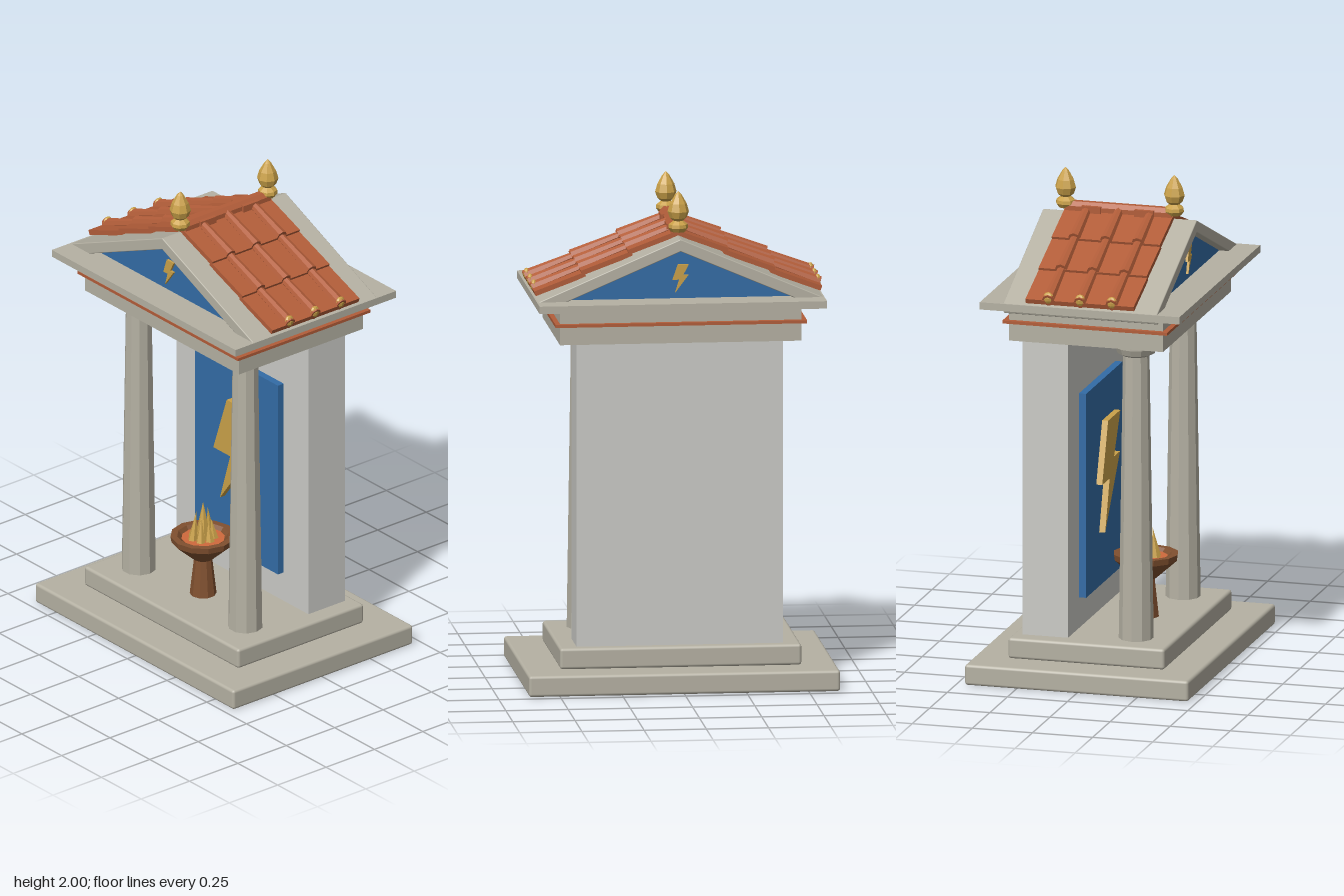
import * as THREE from 'three';
import { RoundedBoxGeometry } from 'three/addons/geometries/RoundedBoxGeometry.js';

const mat = (name, color) => {
  const m = new THREE.MeshStandardMaterial({ color });
  m.name = name;
  return m;
};

export function createModel() {
  const stone = mat('warm stone', 0xb5b1a3);
  const plaster = mat('pale plaster', 0xcbcbc7);
  const blue = mat('blue', 0x336ca6);
  const gold = mat('gold', 0xcaa149);
  const clay = mat('terracotta', 0xb25d39);
  const bronze = mat('bronze', 0x80502f);
  const ember = mat('ember', 0xcf6a3c);

  const root = new THREE.Group();
  root.name = 'shrine';

  const add = (parent, name, geo, material, x = 0, y = 0, z = 0) => {
    const m = new THREE.Mesh(geo, material);
    m.name = name;
    m.position.set(x, y, z);
    parent.add(m);
    return m;
  };
  const box = (w, h, d) => new THREE.BoxGeometry(w, h, d);
  const rounded = (w, h, d, r) => new RoundedBoxGeometry(w, h, d, 2, r);
  // Faceted normals for low-poly turned parts
  const facet = (geo) => {
    const g = geo.toNonIndexed();
    g.computeVertexNormals();
    return g;
  };
  const lathe = (pts, sides) =>
    facet(new THREE.LatheGeometry(pts.map(([r, y]) => new THREE.Vector2(r, y)), sides));

  // Stepped base
  add(root, 'lowerStep', rounded(1.25, 0.085, 0.93, 0.012), stone, 0, 0.0425, 0);
  add(root, 'upperStep', rounded(0.97, 0.085, 0.65, 0.012), stone, 0, 0.1275, 0);

  // Back wall with its panel
  add(root, 'backWall', box(0.83, 1.23, 0.19), plaster, 0, 0.785, -0.19);
  add(root, 'panel', box(0.52, 0.843, 0.03), blue, 0, 0.7185, -0.08);

  // Zigzag bolt relief, centred on its own origin
  const boltShape = new THREE.Shape([
    [-0.032, 0.225], [-0.116, -0.019], [-0.01, -0.019], [-0.074, -0.227],
    [0.138, 0.056], [0.053, 0.056], [0.143, 0.225],
  ].map(([x, y]) => new THREE.Vector2(x, y)));
  const bolt = (depth) => new THREE.ExtrudeGeometry(boltShape, { depth, bevelEnabled: false });
  add(root, 'panelBolt', bolt(0.025), gold, 0, 0.747, -0.065);

  // Front columns
  for (const s of [-1, 1]) {
    const column = new THREE.Group();
    column.name = s > 0 ? 'leftColumn' : 'rightColumn';
    column.position.set(s * 0.335, 0, 0.165);
    root.add(column);
    const shaft = new THREE.CylinderGeometry(0.053, 0.07, 1.18, 10).rotateY(Math.PI / 2);
    add(column, 'shaft', facet(shaft), stone, 0, 0.76, 0);
    add(column, 'capital', lathe([[0.056, 1.34], [0.076, 1.35], [0.086, 1.375],
      [0.086, 1.4], [0, 1.4]], 12), stone);
  }

  // Entablature
  add(root, 'architrave', box(0.97, 0.145, 0.64), stone, 0, 1.4725, 0);
  add(root, 'band', box(1.01, 0.012, 0.685), clay, 0, 1.48, 0);
  add(root, 'cornice', box(1.155, 0.03, 0.83), stone, 0, 1.56, 0);

  // Gable infill, front and back
  const gable = new THREE.Shape([[-0.465, 1.572], [0.465, 1.572], [0, 1.775]]
    .map(([x, y]) => new THREE.Vector2(x, y)));
  const gableGeo = new THREE.ExtrudeGeometry(gable, { depth: 0.56, bevelEnabled: false });
  add(root, 'gableInfill', gableGeo, blue, 0, 0, -0.28);
  for (const s of [-1, 1]) {
    const relief = add(root, 'gableBolt', bolt(0.04), gold, 0, 1.656, s * 0.28);
    relief.scale.set(0.25, 0.25, 0.25);
    if (s < 0) relief.rotation.y = Math.PI;
  }

  // Roof slopes: local x runs down the slope from the ridge
  const pitch = 0.405;
  const row = 0.204;
  for (const s of [-1, 1]) {
    const turn = new THREE.Group();
    turn.name = s > 0 ? 'leftRoof' : 'rightRoof';
    if (s < 0) turn.rotation.y = Math.PI;
    root.add(turn);
    const slope = new THREE.Group();
    slope.name = 'slope';
    slope.position.y = 1.82;
    slope.rotation.z = -pitch;
    turn.add(slope);

    add(slope, 'roofSlab', rounded(0.626, 0.046, 0.64, 0.004), stone, 0.313, -0.023, 0);
    for (let i = 0; i < 3; i++) {
      const u = (i + 0.5) * row;
      // Overlapping pan tiles
      const pan = add(slope, 'panTiles', box(row + 0.012, 0.02, 0.45), clay, u, 0.013, 0);
      pan.rotation.z = 0.05;
      // Tapered cover tiles
      for (const z of [-0.132, 0, 0.132]) {
        const g = new THREE.CylinderGeometry(0.025, 0.018, row + 0.008, 8).rotateZ(-Math.PI / 2);
        const cover = add(slope, 'coverTile', facet(g), clay, u, 0.024, z);
        cover.rotation.z = 0.03;
      }
    }
    // Gilded eave ends
    for (const z of [-0.132, 0, 0.132]) {
      const end = add(turn, 'eaveOrnament', facet(new THREE.SphereGeometry(0.023, 8, 6)),
        gold, 0.57, 1.612, z);
      end.scale.set(0.6, 1.05, 0.95);
    }
  }

  // Ridge tiles
  const ridgeTile = (r, len) => facet(new THREE.CylinderGeometry(r, r, len, 8)
    .rotateY(Math.PI / 8).rotateX(Math.PI / 2));
  add(root, 'ridge', ridgeTile(0.03, 0.44), clay, 0, 1.836, 0);
  for (const z of [-0.11, 0.11]) {
    add(root, 'ridgeSaddle', box(0.076, 0.03, 0.08), clay, 0, 1.838, z);
  }

  // Finials
  for (const z of [-0.226, 0.226]) {
    add(root, 'finial', lathe([[0, 1.835], [0.028, 1.835], [0.04, 1.852], [0.038, 1.866],
      [0.02, 1.88], [0.034, 1.892], [0.043, 1.918], [0.034, 1.95], [0.014, 1.985], [0, 2]], 8),
    gold, 0, 0, z);
  }

  // Brazier
  const brazier = new THREE.Group();
  brazier.name = 'brazier';
  brazier.position.z = 0.108;
  root.add(brazier);
  add(brazier, 'pedestal', facet(new THREE.CylinderGeometry(0.035, 0.054, 0.17, 10)),
    bronze, 0, 0.253, 0);
  add(brazier, 'bowl', lathe([[0, 0.325], [0.042, 0.328], [0.128, 0.405], [0.132, 0.43],
    [0.105, 0.43], [0.085, 0.405], [0, 0.4]], 12), bronze);
  add(brazier, 'embers', facet(new THREE.CylinderGeometry(0.088, 0.08, 0.012, 12)),
    ember, 0, 0.412, 0);
  // Flames: one tall tongue ringed by shorter ones
  const flame = (r, h, x, z) => add(brazier, 'flame',
    facet(new THREE.ConeGeometry(r, h, 6)), gold, x, 0.415 + h / 2, z);
  flame(0.035, 0.162, 0, 0);
  for (let i = 0; i < 7; i++) {
    const a = (i / 7) * Math.PI * 2;
    const f = flame(0.02, 0.085 + 0.02 * (i % 3), 0.038 * Math.cos(a), 0.038 * Math.sin(a));
    f.rotation.set(-0.12 * Math.sin(a), 0, 0.12 * Math.cos(a));
  }

  return root;
}
